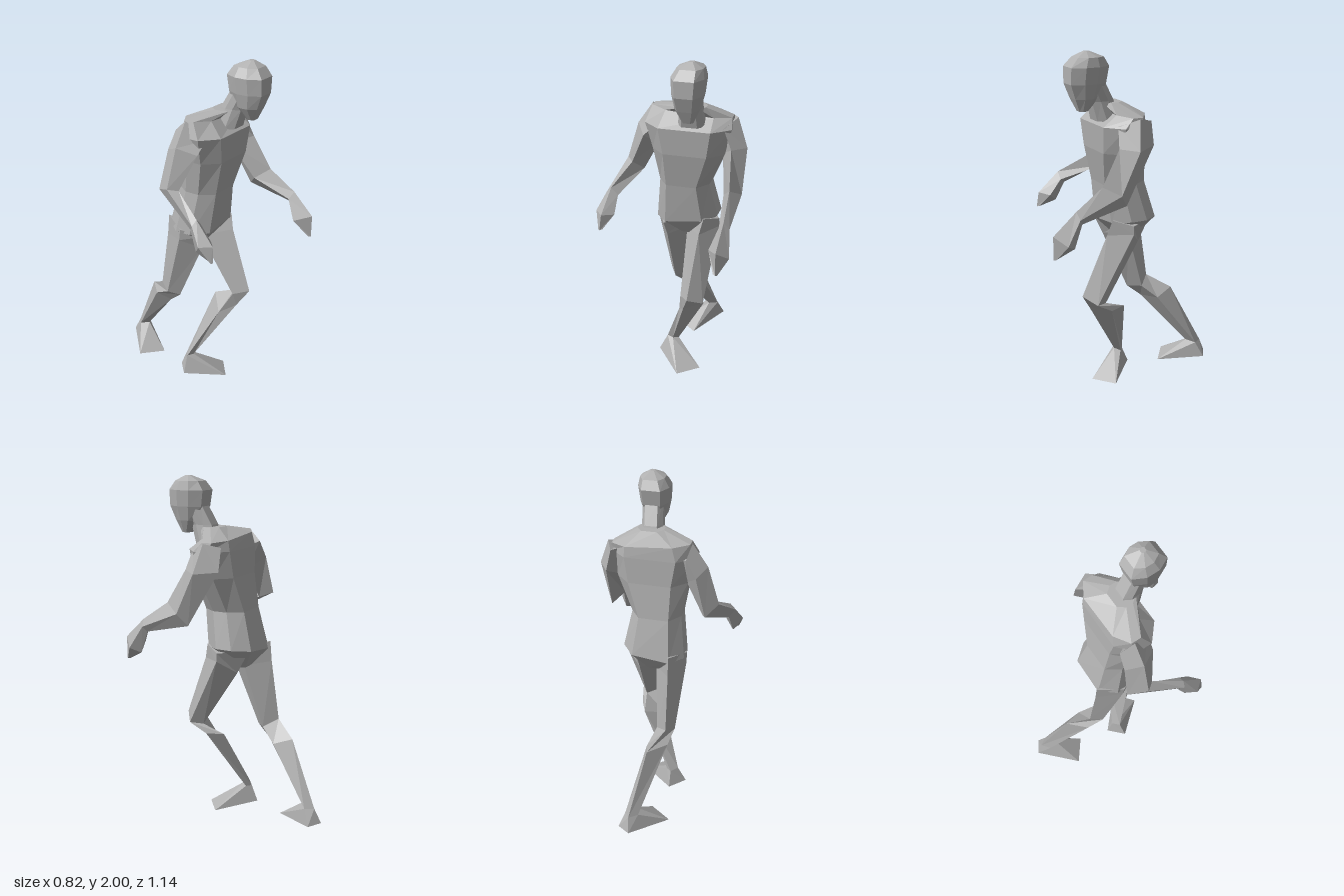
import * as THREE from 'three';

const grey = new THREE.MeshStandardMaterial({ color: 0xb0b0b0 });
grey.name = 'plain grey';

// Closed, faceted skin over a list of rings that share a point count
function loft(name, rings) {
  const n = rings[0].length;
  const tris = [];
  for (let r = 0; r + 1 < rings.length; r++) {
    const a = rings[r], b = rings[r + 1];
    for (let i = 0; i < n; i++) {
      const j = (i + 1) % n;
      tris.push([a[i], a[j], b[j]], [a[i], b[j], b[i]]);
    }
  }
  const last = rings[rings.length - 1];
  for (let i = 1; i + 1 < n; i++) {
    tris.push([rings[0][0], rings[0][i + 1], rings[0][i]], [last[0], last[i], last[i + 1]]);
  }
  // Turn the faces outward
  let volume = 0;
  for (const [a, b, c] of tris) {
    volume += a[0] * (b[1] * c[2] - b[2] * c[1])
            + a[1] * (b[2] * c[0] - b[0] * c[2])
            + a[2] * (b[0] * c[1] - b[1] * c[0]);
  }
  if (volume < 0) tris.forEach((t) => t.reverse());
  const geometry = new THREE.BufferGeometry();
  geometry.setAttribute('position', new THREE.Float32BufferAttribute(tris.flat(2), 3));
  geometry.computeVertexNormals();
  const mesh = new THREE.Mesh(geometry, grey);
  mesh.name = name;
  return mesh;
}

// Eight-sided level ring fitted into a rectangle, tilted sideways by slope
const octagon = [[0.6, 1], [1, 0.35], [1, -0.35], [0.6, -1], [-0.6, -1], [-1, -0.35], [-1, 0.35], [-0.6, 1]];
function ring([y, x0, x1, z0, z1, slope = 0]) {
  const cx = (x0 + x1) / 2, cz = (z0 + z1) / 2;
  return octagon.map(([u, v]) => {
    const dx = u * (x1 - x0) / 2;
    return [cx + dx, y + dx * slope, cz + v * (z1 - z0) / 2];
  });
}

export function createModel() {
  const model = new THREE.Group();
  model.name = 'walkingFigure';

  // Trunk and head: height, x range, z range, slope
  model.add(loft('torso', [
    [0.91, 0, 0.1, -0.07, 0.04],
    [1.02, -0.13, 0.23, -0.15, 0.13, 0.12],
    [1.25, -0.1, 0.19, -0.09, 0.16],
    [1.45, -0.13, 0.28, -0.06, 0.2],
    [1.6, -0.17, 0.32, -0.05, 0.21],
    [1.67, -0.14, 0.31, -0.04, 0.13, -0.08],
    [1.72, 0.03, 0.18, 0.06, 0.18],
  ].map(ring)));
  model.add(loft('neck', [
    [1.62, 0.03, 0.18, 0.07, 0.21],
    [1.73, 0.05, 0.17, 0.11, 0.24],
    [1.84, 0.06, 0.18, 0.17, 0.29],
  ].map(ring)));
  model.add(loft('head', [
    [1.68, 0.09, 0.15, 0.26, 0.31],
    [1.75, 0.05, 0.18, 0.2, 0.34],
    [1.83, 0.035, 0.2, 0.165, 0.37],
    [1.92, 0.03, 0.21, 0.15, 0.37],
    [1.97, 0.06, 0.2, 0.18, 0.33],
    [2.0, 0.12, 0.15, 0.25, 0.28],
  ].map(ring)));

  // Limb rings list front, outer, back and inner corners
  const leftAnkle = [[-0.05, 0.13, 0.01], [-0.02, 0.12, -0.02], [-0.05, 0.12, -0.045], [-0.09, 0.13, -0.01]];
  model.add(loft('leftLeg', [
    [[0.17, 1.05, 0.13], [0.24, 1.02, 0.03], [0.14, 1.02, -0.12], [0.06, 1.0, -0.02]],
    [[0.15, 0.96, 0.155], [0.24, 0.97, 0.03], [0.14, 0.89, -0.05], [0.04, 0.92, 0.0]],
    [[0.12, 0.6, 0.3], [0.2, 0.56, 0.24], [0.16, 0.55, 0.17], [0.06, 0.58, 0.22]],
    [[0.08, 0.5, 0.235], [0.18, 0.5, 0.14], [0.14, 0.5, 0.04], [0.03, 0.44, 0.14]],
    leftAnkle,
  ]));
  model.add(loft('leftFoot', [
    leftAnkle,
    [[0.03, 0, 0.2], [0.15, 0, 0.1], [-0.05, 0.025, -0.085], [-0.14, 0.03, 0]],
  ]));

  const rightAnkle = [[0.07, 0.14, -0.44], [0.04, 0.13, -0.49], [0.09, 0.13, -0.53], [0.12, 0.13, -0.48]];
  model.add(loft('rightLeg', [
    [[-0.07, 0.99, 0.12], [-0.14, 1.02, -0.02], [-0.06, 1.05, -0.16], [0.04, 0.98, -0.04]],
    [[-0.06, 0.9, 0.08], [-0.138, 0.95, -0.03], [-0.06, 0.93, -0.17], [0.04, 0.91, -0.04]],
    [[-0.06, 0.53, -0.085], [-0.1, 0.55, -0.15], [-0.06, 0.58, -0.22], [0.01, 0.54, -0.15]],
    [[-0.04, 0.46, -0.17], [-0.08, 0.5, -0.25], [0.02, 0.5, -0.35], [0.05, 0.46, -0.24]],
    rightAnkle,
  ]));
  model.add(loft('rightFoot', [
    rightAnkle,
    [[0.01, 0.01, -0.27], [-0.12, 0.02, -0.37], [0.08, 0.045, -0.57], [0.155, 0.04, -0.52]],
  ]));

  const leftWrist = [[0.36, 1.2, 0.44], [0.39, 1.16, 0.43], [0.37, 1.13, 0.41], [0.33, 1.16, 0.42]];
  model.add(loft('leftArm', [
    [[0.28, 1.61, 0.15], [0.34, 1.65, 0.05], [0.3, 1.63, -0.04], [0.24, 1.62, 0.05]],
    [[0.33, 1.5, 0.17], [0.4, 1.49, 0.08], [0.33, 1.5, -0.04], [0.26, 1.44, 0.06]],
    [[0.35, 1.31, 0.28], [0.4, 1.26, 0.19], [0.36, 1.19, 0.14], [0.3, 1.25, 0.2]],
    leftWrist,
  ]));
  model.add(loft('leftHand', [
    leftWrist,
    [[0.35, 1.08, 0.57], [0.41, 1.03, 0.51], [0.37, 1.0, 0.455], [0.29, 1.05, 0.48]],
    [[0.35, 0.95, 0.57], [0.36, 0.95, 0.56], [0.35, 0.95, 0.55], [0.335, 0.955, 0.56]],
  ]));

  const rightWrist = [[-0.34, 1.23, 0.24], [-0.37, 1.2, 0.23], [-0.34, 1.16, 0.2], [-0.3, 1.19, 0.24]];
  model.add(loft('rightArm', [
    [[-0.11, 1.59, 0.14], [-0.15, 1.69, 0.03], [-0.13, 1.62, -0.05], [-0.08, 1.58, 0.03]],
    [[-0.18, 1.52, 0.13], [-0.24, 1.56, 0.03], [-0.19, 1.52, -0.06], [-0.12, 1.45, 0.03]],
    [[-0.27, 1.33, 0.07], [-0.31, 1.34, 0.02], [-0.25, 1.3, -0.08], [-0.22, 1.27, 0]],
    rightWrist,
  ]));
  model.add(loft('rightHand', [
    rightWrist,
    [[-0.36, 1.11, 0.36], [-0.41, 1.11, 0.3], [-0.36, 1.05, 0.25], [-0.3, 1.1, 0.31]],
    [[-0.37, 1.02, 0.37], [-0.38, 1.02, 0.36], [-0.37, 1.02, 0.35], [-0.355, 1.025, 0.36]],
  ]));

  return model;
}
